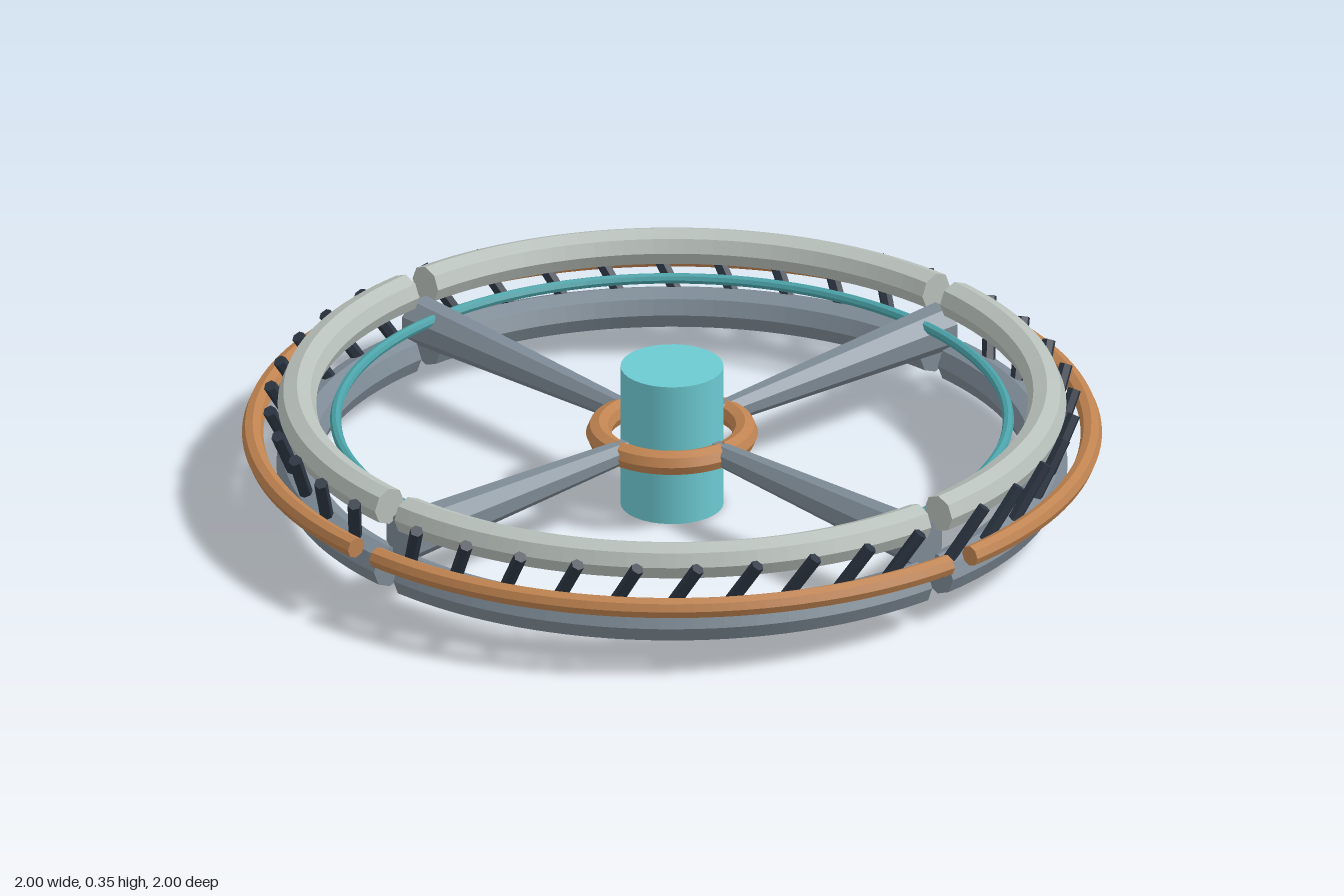
import * as THREE from 'three';
import { mergeGeometries } from 'three/addons/utils/BufferGeometryUtils.js';

const mat = (name, color, flatShading = true) => {
  const m = new THREE.MeshStandardMaterial({ color, flatShading });
  m.name = name;
  return m;
};

const GAP = 0.036;               // half-angle of the split between ring quarters
const ARC = Math.PI / 2 - 2 * GAP;
const MID_Y = 0.18;

// Quarter of an eight-sided ring, with closed ends
function ringQuarter(R, r) {
  const tube = new THREE.TorusGeometry(R, r, 8, 36, ARC);
  const startCap = new THREE.CircleGeometry(r, 8).rotateX(Math.PI / 2).translate(R, 0, 0);
  const endCap = new THREE.CircleGeometry(r, 8).rotateX(-Math.PI / 2).translate(R, 0, 0).rotateZ(ARC);
  return mergeGeometries([tube, startCap, endCap]).rotateZ(GAP).rotateX(Math.PI / 2);
}

// Point at an angle measured from the front towards +x
const polar = (a, r, y) => new THREE.Vector3(r * Math.sin(a), y, r * Math.cos(a));

// Round bar between two points
function bar(a, b, r, sides) {
  const dir = b.clone().sub(a);
  const q = new THREE.Quaternion().setFromUnitVectors(new THREE.Vector3(0, 1, 0), dir.clone().normalize());
  const p = a.clone().add(b).multiplyScalar(0.5);
  return new THREE.CylinderGeometry(r, r, dir.length(), sides).applyQuaternion(q).translate(p.x, p.y, p.z);
}

export function createModel() {
  const model = new THREE.Group();
  model.name = 'ringStation';
  const lightGrey = mat('light grey', 0xb8c0bb);
  const slate = mat('slate grey', 0x7d8a95);
  const copper = mat('copper', 0xbf8350);
  const navy = mat('dark navy', 0x2c3643);
  const teal = mat('bright teal', 0x6ccad1, false);
  const deepTeal = mat('deep teal', 0x4aa2a8);

  const add = (parent, name, geometry, material) => {
    const mesh = new THREE.Mesh(geometry, material);
    mesh.name = name;
    parent.add(mesh);
    return mesh;
  };

  // Central hub
  add(model, 'hub', new THREE.CylinderGeometry(0.12, 0.12, 0.35, 32).translate(0, 0.175, 0), teal);

  // Thin inner ring running through the spokes
  add(model, 'innerRing', new THREE.TorusGeometry(0.782, 0.013, 8, 128).rotateX(Math.PI / 2), deepTeal)
    .position.y = 0.213;

  // Ring parts: name, ring radius, tube radius, height, material
  const rings = [
    ['upperRing', 0.872, 0.045, 0.255, lightGrey],
    ['lowerRing', 0.87, 0.05, 0.1, slate],
    ['outerRail', 0.975, 0.025, MID_Y, copper],
    ['hubCollar', 0.17, 0.03, MID_Y, copper],
  ].map(([name, R, r, y, m]) => [name, ringQuarter(R, r).translate(0, y, 0), m]);

  // Tapered octagonal spoke, wide at the rim
  const spoke = new THREE.CylinderGeometry(0.058, 0.028, 0.71, 8)
    .rotateY(Math.PI / 8).rotateX(Math.PI / 2).translate(0, MID_Y, 0.505);

  // Slanted struts from the lower ring to the outside of the upper ring
  const struts = [];
  for (let i = 0; i < 10; i++) {
    const a = GAP + i * ARC / 10;
    struts.push(bar(polar(a, 0.872, 0.1), polar(a + 0.096, 0.938, 0.262), 0.016, 6));
  }
  const strutSet = mergeGeometries(struts);

  // Four identical quarters
  for (let q = 0; q < 4; q++) {
    const quarter = new THREE.Group();
    quarter.name = 'quarter' + (q + 1);
    quarter.rotation.y = q * Math.PI / 2;
    rings.forEach(([name, geometry, m]) => add(quarter, name, geometry, m));
    add(quarter, 'spoke', spoke, slate);
    add(quarter, 'struts', strutSet, navy);
    model.add(quarter);
  }
  return model;
}
